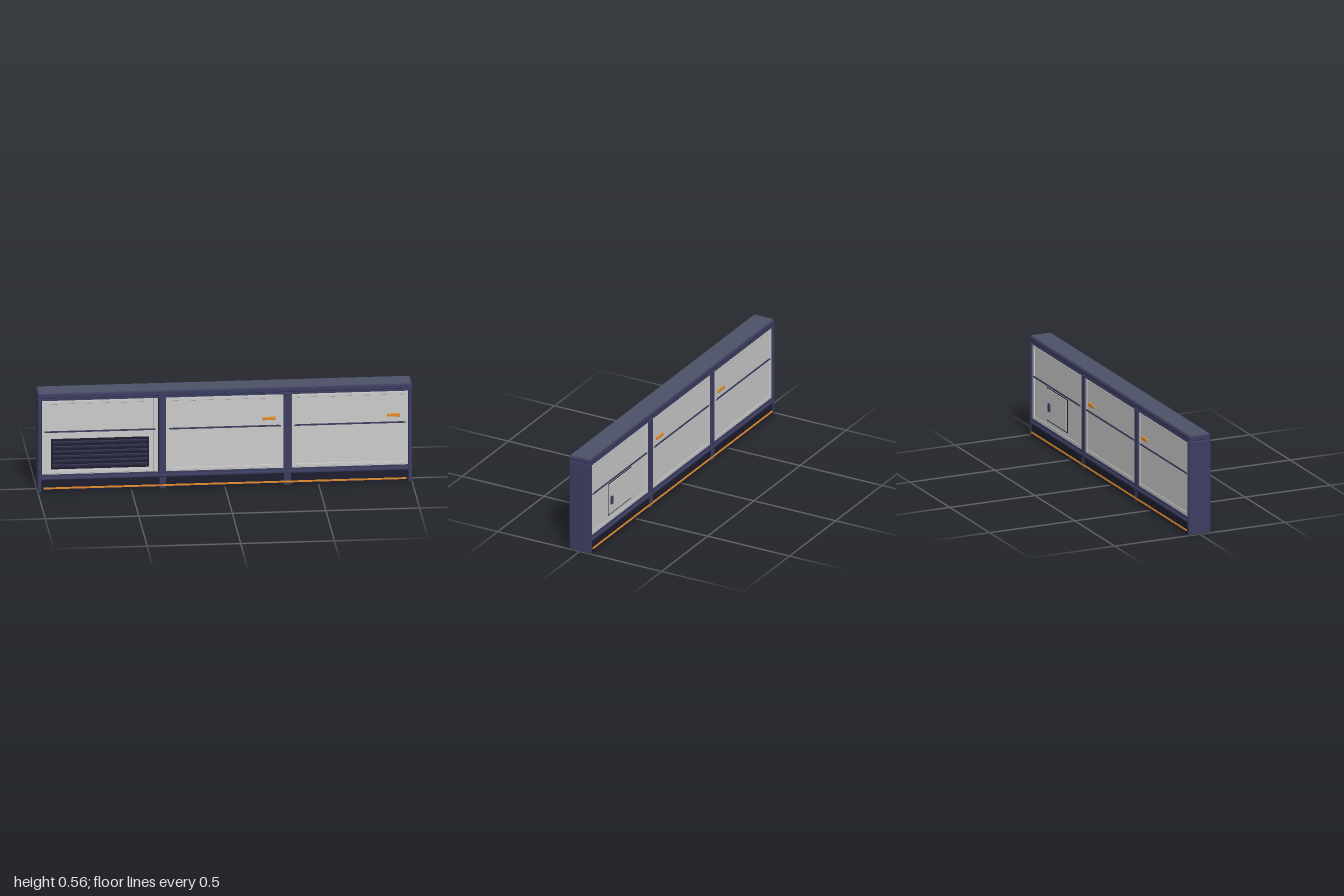
import * as THREE from 'three';
import { RoundedBoxGeometry } from 'three/addons/geometries/RoundedBoxGeometry.js';

const mat = (color) => new THREE.MeshStandardMaterial({ color });

export function createModel() {
  const model = new THREE.Group();
  model.name = 'barrierWall';
  const navy = mat(0x3b3d60), dark = mat(0x1d1e2e), slate = mat(0x4d5167);
  const grey = mat(0xcccccc), orange = mat(0xe08a2a);

  // Box given by its min and max corners, optionally with rounded edges
  function box(name, material, [x0, x1], [y0, y1], [z0, z1], radius = 0, parent = model) {
    const w = x1 - x0, h = y1 - y0, d = z1 - z0;
    const geo = radius ? new RoundedBoxGeometry(w, h, d, 2, radius) : new THREE.BoxGeometry(w, h, d);
    const mesh = new THREE.Mesh(geo, material);
    mesh.position.set((x0 + x1) / 2, (y0 + y1) / 2, (z0 + z1) / 2);
    mesh.name = name;
    parent.add(mesh);
    return mesh;
  }

  // Core, plinth and top
  box('core', dark, [-0.985, 0.985], [0.07, 0.525], [-0.05, 0.05]);
  box('plinth', dark, [-0.985, 0.985], [0.002, 0.07], [-0.062, 0.062]);
  box('topRail', navy, [-1, 1], [0.522, 0.549], [-0.063, 0.063], 0.006);
  box('topCap', slate, [-0.995, 0.995], [0.547, 0.555], [-0.058, 0.058], 0.002);

  // End panels and the two dividing posts
  for (const s of [-1, 1]) {
    const x = s * 0.989;
    box('endPanel', navy, [x - 0.01, x + 0.01], [0, 0.52], [-0.065, 0.065], 0.005);
    const p = s * 0.333;
    box('dividingPost', navy, [p - 0.019, p + 0.019], [0, 0.52], [-0.064, 0.064], 0.004);
  }

  // One face of the wall, built facing +z; mirror is -1 where x runs the other way
  function buildFace(name) {
    const face = new THREE.Group();
    face.name = name;
    model.add(face);
    const add = (n, m, x, y, z, r) => box(n, m, x, y, z, r, face);
    add('lowerLedge', navy, [-0.98, 0.98], [0.068, 0.084], [0.045, 0.068], 0.005);
    add('bottomRail', navy, [-0.98, 0.98], [0.082, 0.096], [0.045, 0.061]);
    add('upperRail', navy, [-0.98, 0.98], [0.511, 0.52], [0.045, 0.06]);
    add('accentStrip', orange, [-0.97, 0.97], [0.017, 0.026], [0.058, 0.067]);
    for (const c of [-0.667, 0, 0.667]) {
      const half = c === 0 ? 0.314 : 0.31;
      add('panel', grey, [c - half, c + half], [0.094, 0.512], [0.045, 0.055]);
      // Raised trim around the panel
      for (const s of [-1, 1]) {
        const x = c + s * (half - 0.015);
        add('panelSideTrim', grey, [x - 0.011, x + 0.011], [0.098, 0.51], [0.05, 0.0585], 0.002);
      }
      for (const y of [0.108, 0.499]) {
        add('panelCrossTrim', grey, [c - half + 0.026, c + half - 0.026], [y - 0.009, y + 0.009], [0.05, 0.0575], 0.002);
      }
      add('panelSeam', navy, [c - half + 0.014, c + half - 0.014], [0.331, 0.339], [0.05, 0.0595]);
    }
    return face;
  }

  function addHandle(face, x) {
    box('handle', orange, [x - 0.035, x + 0.035], [0.368, 0.385], [0.05, 0.063], 0.003, face);
  }

  // Front: louvred vent and two handles
  const front = buildFace('frontFace');
  addHandle(front, 0.235);
  addHandle(front, 0.9);
  box('ventBacking', dark, [-0.93, -0.405], [0.125, 0.295], [0.05, 0.0575], 0, front);
  for (let i = 0; i < 6; i++) {
    const y = 0.145 + i * 0.026;
    const slat = box('ventSlat', navy, [-0.92, -0.415], [y - 0.007, y + 0.007], [0.0565, 0.0605], 0, front);
    slat.rotation.x = 0.45;
  }

  // Back: access hatch with latch and two handles (local x is reversed)
  const back = buildFace('backFace');
  back.rotation.y = Math.PI;
  addHandle(back, -0.235);
  addHandle(back, 0.43);
  box('hatchGap', dark, [-0.793, -0.537], [0.137, 0.323], [0.05, 0.0565], 0, back);
  box('hatch', grey, [-0.788, -0.542], [0.142, 0.318], [0.05, 0.059], 0.002, back);
  box('hatchLatch', navy, [-0.77, -0.748], [0.195, 0.241], [0.055, 0.066], 0.003, back);

  return model;
}
